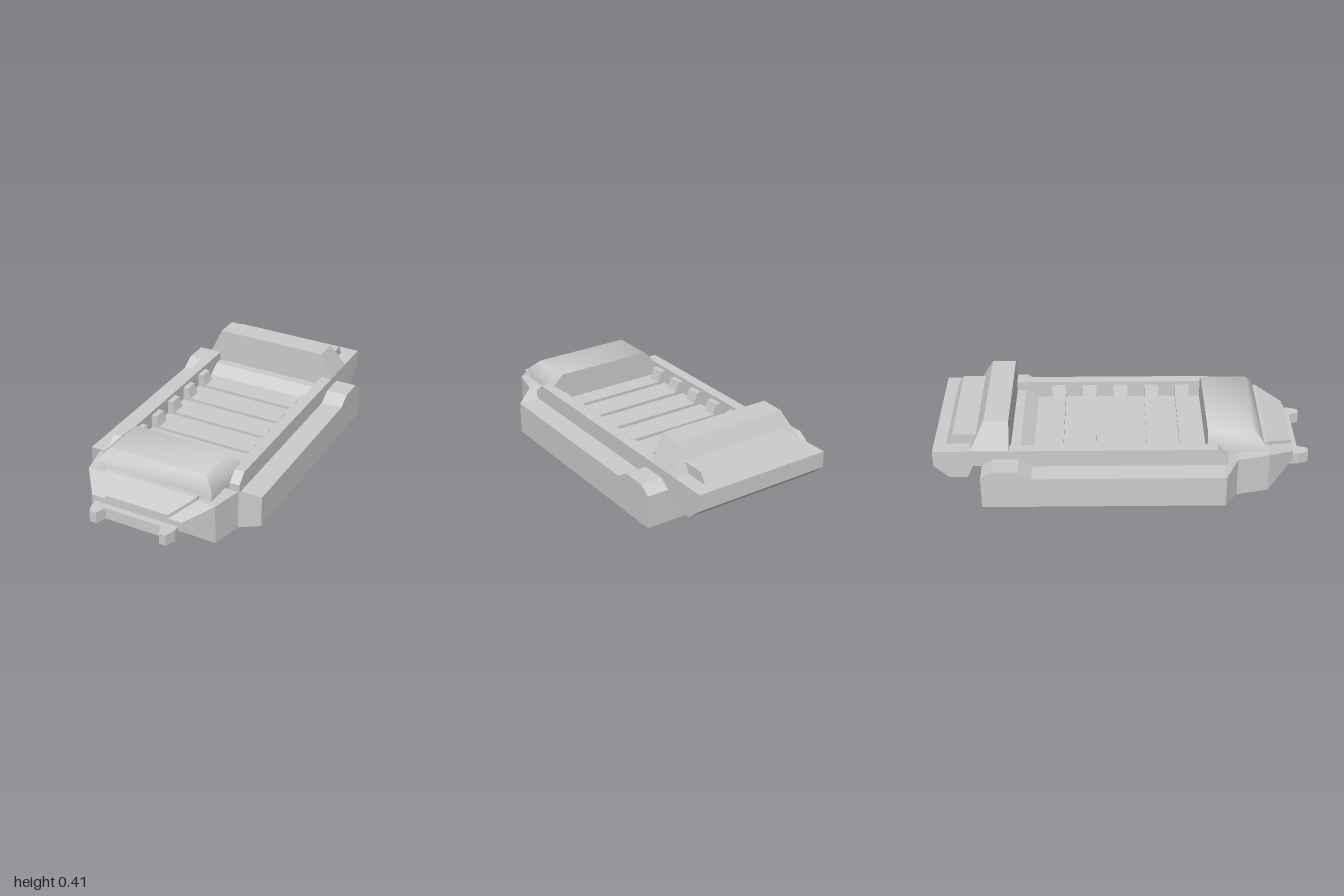
import * as THREE from 'three';
import { toCreasedNormals } from 'three/addons/utils/BufferGeometryUtils.js';

const material = new THREE.MeshStandardMaterial({ color: 0xcccccc, flatShading: true });
const smooth = new THREE.MeshStandardMaterial({ color: 0xcccccc });

// Join equal-length convex rings of [x, y, z] points, with capped ends
function loft(rings) {
  const pos = [];
  const tri = (a, b, c) => pos.push(...a, ...b, ...c);
  const n = rings[0].length;
  for (let r = 0; r < rings.length - 1; r++) {
    for (let i = 0; i < n; i++) {
      const j = (i + 1) % n, lo = rings[r], hi = rings[r + 1];
      tri(lo[i], lo[j], hi[j]);
      tri(lo[i], hi[j], hi[i]);
    }
  }
  const first = rings[0], last = rings[rings.length - 1];
  for (let i = 1; i < n - 1; i++) {
    tri(first[0], first[i + 1], first[i]);
    tri(last[0], last[i], last[i + 1]);
  }
  const geo = new THREE.BufferGeometry();
  geo.setAttribute('position', new THREE.Float32BufferAttribute(pos, 3));
  geo.computeVertexNormals();
  return geo;
}

// Rectangular ring across z, and across y
const ringZ = (z, w, y0, y1) => [[-w, y0, z], [w, y0, z], [w, y1, z], [-w, y1, z]];
const ringY = (y, w, zBack, zFront) => [[-w, y, zFront], [w, y, zFront], [w, y, zBack], [-w, y, zBack]];

const extrude = (points, depth) => new THREE.ExtrudeGeometry(
  new THREE.Shape(points.map(p => new THREE.Vector2(...p))), { depth, bevelEnabled: false });

// Side profile of [z, y] points, extruded along x and centred on x
const sideExtrude = (points, width, x = 0) =>
  extrude(points, width).rotateY(-Math.PI / 2).translate(x + width / 2, 0, 0);

export function createModel() {
  const model = new THREE.Group();
  const add = (name, geo, mat = material) => {
    const mesh = new THREE.Mesh(geo, mat);
    mesh.name = name;
    model.add(mesh);
    return mesh;
  };

  // Hull with raised rear end and tapering nose
  add('hull', loft([
    ringZ(-0.745, 0.51, 0, 0.18),
    ringZ(-0.685, 0.51, 0, 0.22),
    ringZ(-0.55, 0.51, 0, 0.22),
    ringZ(-0.48, 0.51, 0, 0.175),
    ringZ(0.535, 0.51, 0, 0.175),
    ringZ(0.60, 0.41, 0, 0.22),
    ringZ(0.77, 0.37, 0, 0.22),
    ringZ(0.91, 0.26, 0.12, 0.175),
  ]));

  // Thin plate lying on the nose
  add('nosePlate', loft([
    ringZ(0.70, 0.265, 0.20, 0.24),
    ringZ(0.77, 0.265, 0.20, 0.24),
    ringZ(0.91, 0.182, 0.165, 0.195),
  ]));

  // Front bumper: bar with two tapered prongs
  const bumper = [[-0.24, 0.84], [0.24, 0.84], [0.24, 0.945], [0.22, 1], [0.182, 1], [0.162, 0.945],
    [-0.162, 0.945], [-0.182, 1], [-0.22, 1], [-0.24, 0.945]];
  add('frontBumper', extrude(bumper, 0.063).rotateX(Math.PI / 2).translate(0, 0.144, 0));

  // Bay side rails with chamfered front ends
  for (const side of [1, -1]) {
    add(side > 0 ? 'leftRail' : 'rightRail', sideExtrude(
      [[-0.65, 0.16], [0.55, 0.16], [0.55, 0.22], [0.495, 0.27], [-0.65, 0.27]], 0.06, side * 0.36));
  }

  // Cross ribs with upturned ends along the bay floor
  const rib = [[-0.335, 0.16], [0.335, 0.16], [0.335, 0.25], [0.3, 0.25], [0.282, 0.192],
    [-0.282, 0.192], [-0.3, 0.25], [-0.335, 0.25]];
  for (let i = 0; i < 5; i++) {
    add('bayRib', extrude(rib, 0.078).translate(0, 0, -0.4 + i * 0.176));
  }

  // Front housing with softly shaded top corners and a sloping front
  const housingRing = z => [[-0.335, 0.17, z], [0.335, 0.17, z], [0.335, 0.275, z],
    [0.28, 0.328, z], [-0.28, 0.328, z], [-0.335, 0.275, z]];
  const housingFront = housingRing(0.742).map(([x, y, z]) => [Math.sign(x) * 0.335, Math.min(y, 0.275), z]);
  add('frontHousing', toCreasedNormals(
    loft([housingRing(0.445), housingRing(0.69), housingFront]), 0.81), smooth);

  // Rear cabin
  add('rearCabin', loft([
    ringY(0.18, 0.39, -0.83, -0.6),
    ringY(0.27, 0.39, -0.804, -0.6),
    ringY(0.415, 0.322, -0.73, -0.6),
  ]));

  // Overhanging tail and the raised box on top of it
  add('tail', sideExtrude([[-0.7, 0.27], [-1, 0.27], [-1, 0.18], [-0.92, 0.11],
    [-0.825, 0.11], [-0.79, 0.18], [-0.7, 0.18]], 0.78));
  add('tailBox', sideExtrude([[-0.76, 0.325], [-0.9, 0.325], [-0.937, 0.265], [-0.76, 0.265]], 0.62));

  return model;
}
